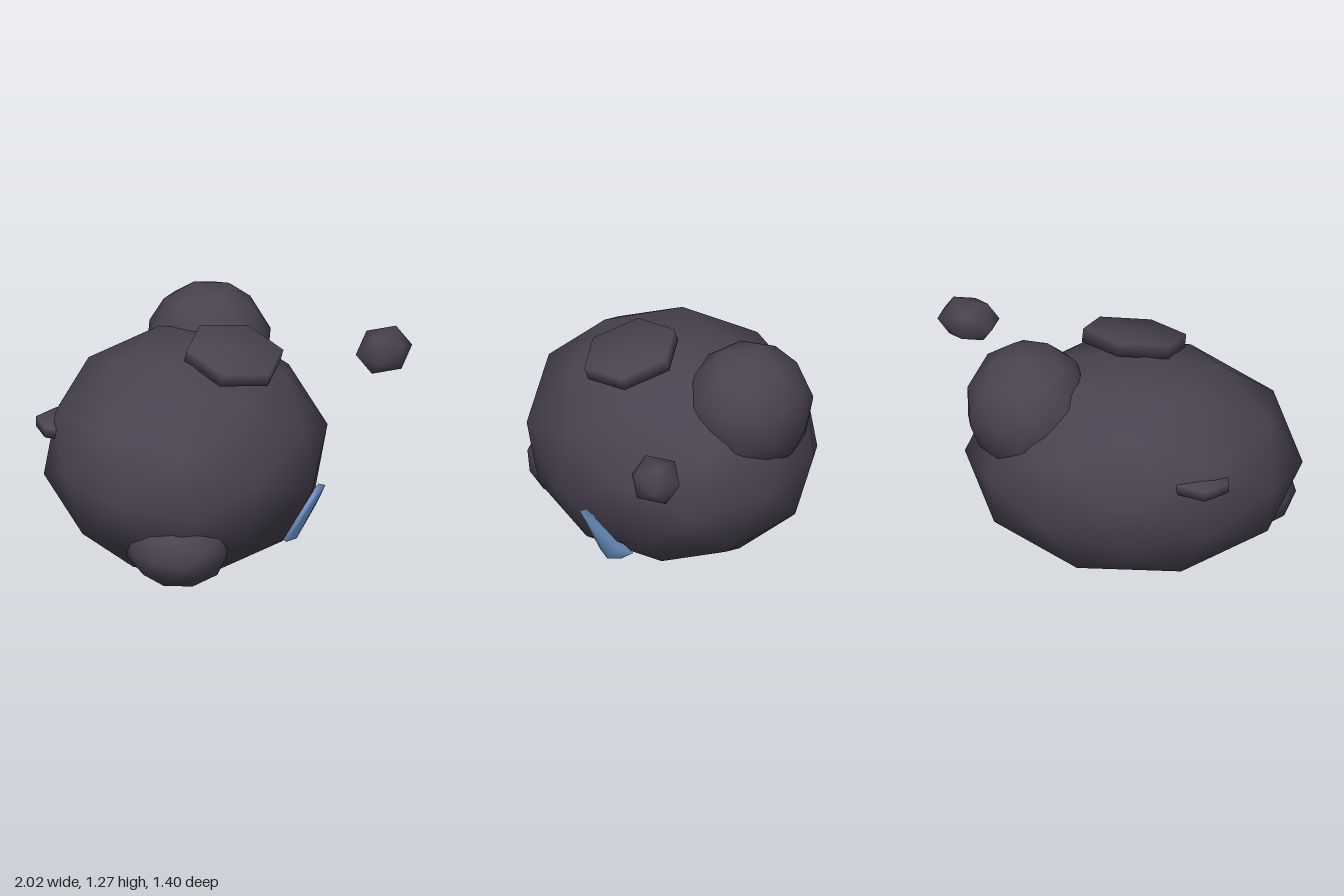
import * as THREE from 'three';
import { mergeVertices } from 'three/addons/utils/BufferGeometryUtils.js';
import { ConvexGeometry } from 'three/addons/geometries/ConvexGeometry.js';

const stone = new THREE.MeshStandardMaterial({ color: 0x4a4351 });
stone.name = 'dark stone';
const crystal = new THREE.MeshStandardMaterial({ color: 0x78a4dc });
crystal.name = 'blue crystal';

// Share vertices so that coarse facets shade smoothly
function smooth(geometry) {
  geometry.deleteAttribute('normal');
  geometry.deleteAttribute('uv');
  const merged = mergeVertices(geometry, 1e-4);
  merged.computeVertexNormals();
  return merged;
}

export function createModel() {
  const group = new THREE.Group();

  function add(name, geometry, material, position = [0, 0, 0], rotation = [0, 0, 0], scale = [1, 1, 1]) {
    const mesh = new THREE.Mesh(geometry, material);
    mesh.name = name;
    mesh.position.set(...position);
    mesh.rotation.set(...rotation);
    mesh.scale.set(...scale);
    group.add(mesh);
  }

  const boulder = smooth(new THREE.IcosahedronGeometry(1, 1));
  const pebble = smooth(new THREE.IcosahedronGeometry(1, 0));

  // Main rock and the two lumps growing out of it
  add('mainRock', boulder, stone, [-0.2, 0.58, 0], [0.2, 0.31, -0.05], [0.857, 0.59, 0.71]);
  add('upperLump', boulder, stone, [0.275, 0.95, -0.265], [0.3, 0.4, 0.2], [0.32, 0.335, 0.325]);
  add('lowerLump', boulder, stone, [-0.66, 0.28, 0.35], [0.1, 0.3, 0], [0.27, 0.2, 0.27]);

  // Loose fragment floating beside the rock
  add('floatingFragment', pebble, stone, [0.85, 0.92, 0.415], [0.15, 0.1, 0.05], [0.17, 0.122, 0.137]);

  // Six-sided flat slabs
  const profile = [[0, -0.05], [0.25, -0.035], [0.25, 0.035], [0, 0.05]];
  const slab = smooth(new THREE.LatheGeometry(profile.map(p => new THREE.Vector2(...p)), 6));
  add('topSlab', slab, stone, [-0.11, 1.125, 0.245], [0.3, 0, 0], [1.08, 1, 1]);
  add('backSlab', slab, stone, [-0.7, 0.77, -0.37], [0, 0.5, 0.05], [0.62, 0.75, 0.62]);

  // Crystal shard lying against the lower front
  const shard = [
    [0.18, 0.43, 0.61], [0.17, 0.43, 0.57], [0.13, 0.36, 0.56], [0.2, 0.3, 0.53],
    [0.05, 0.12, 0.46], [0.07, 0.12, 0.4], [0.16, 0.11, 0.38], [0.14, 0.11, 0.45],
    [0.23, 0.17, 0.34], [0.22, 0.2, 0.42], [0.16, 0.24, 0.42],
  ].map(p => new THREE.Vector3(...p));
  add('crystalShard', smooth(new ConvexGeometry(shard)), crystal);

  return group;
}
